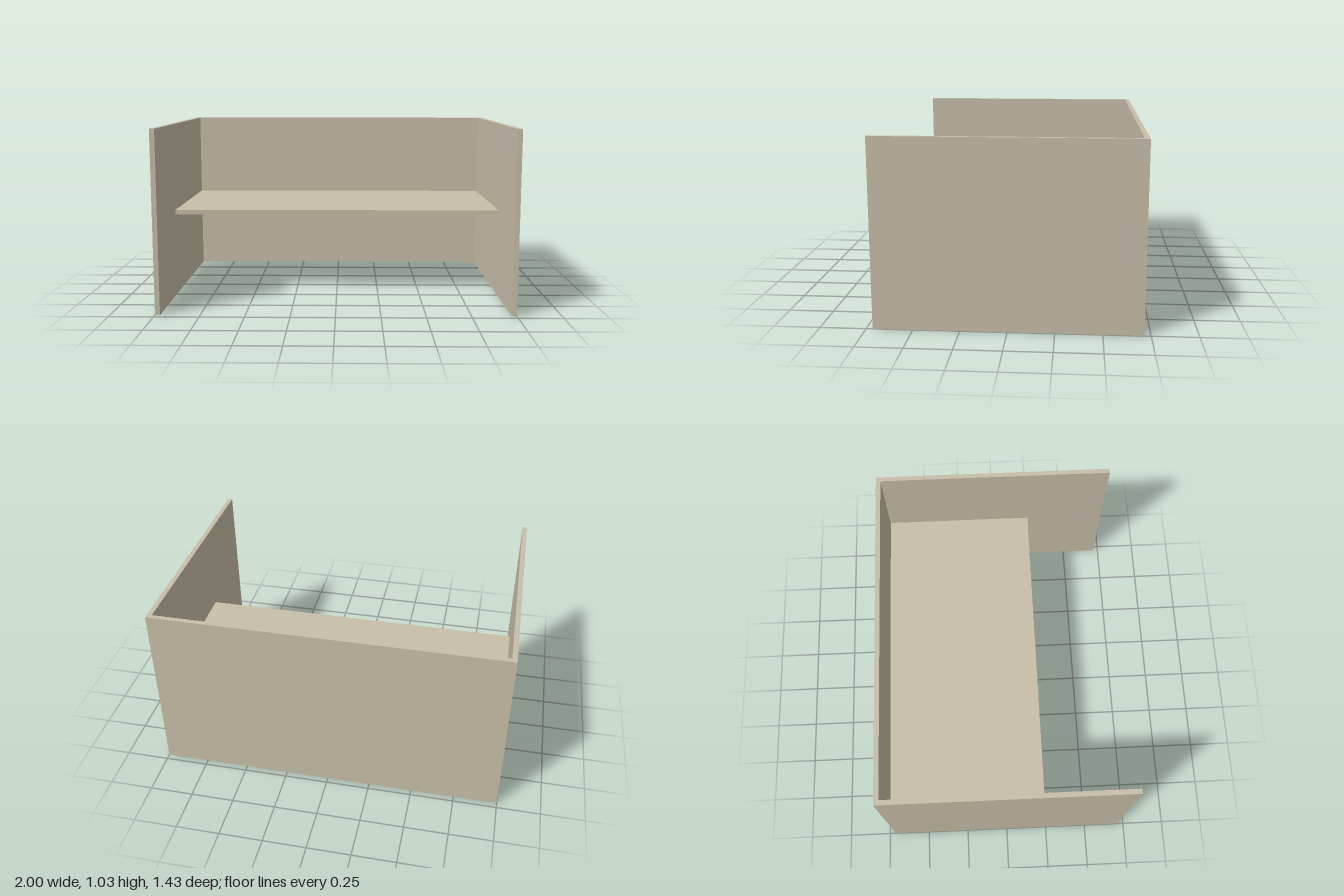
import * as THREE from 'three';

export function createModel() {
  const group = new THREE.Group();
  group.name = 'cubicleDesk';
  const material = new THREE.MeshStandardMaterial({ color: 0xc8bfa8 });

  const height = 1.03, halfW = 1, halfD = 0.715, t = 0.028;
  const innerW = halfW - t;

  // U-shaped partition: back panel and two side panels in one piece
  const outline = [
    [-halfW, -halfD], [-innerW, -halfD], [-innerW, halfD - t], [innerW, halfD - t],
    [innerW, -halfD], [halfW, -halfD], [halfW, halfD], [-halfW, halfD],
  ].map(([x, y]) => new THREE.Vector2(x, y));
  const wallGeometry = new THREE.ExtrudeGeometry(new THREE.Shape(outline), {
    depth: height, bevelEnabled: false,
  });
  wallGeometry.rotateX(-Math.PI / 2); // shape y becomes -z, extrusion becomes height
  const walls = new THREE.Mesh(wallGeometry, material);
  walls.name = 'partitionWalls';
  group.add(walls);

  // Desktop spanning between the side panels, against the back panel
  const back = -halfD + t, front = 0.225;
  const desktop = new THREE.Mesh(new THREE.BoxGeometry(innerW * 2, t, front - back), material);
  desktop.name = 'desktop';
  desktop.position.set(0, 0.501, (front + back) / 2);
  group.add(desktop);

  return group;
}
